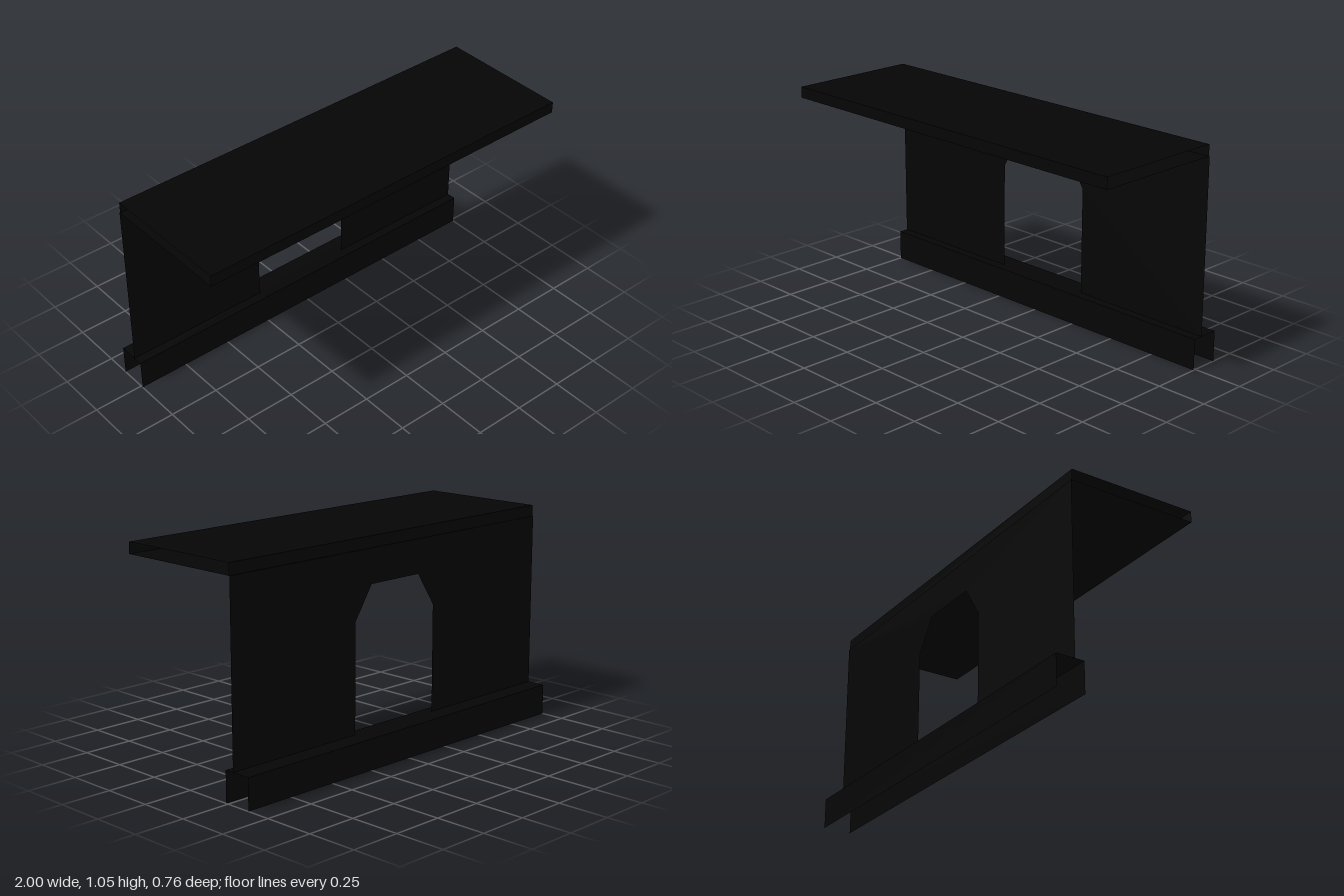
import * as THREE from 'three';

const HALF = 1; // half length along x
const WALL_Z = -0.285;

const black = new THREE.MeshStandardMaterial({ color: 0x050505, side: THREE.DoubleSide });

// Thin folded sheet: a [z, y] profile swept along x, with open ends
function foldedSheet(name, profile) {
  const positions = [];
  for (let i = 0; i < profile.length - 1; i++) {
    const [z0, y0] = profile[i];
    const [z1, y1] = profile[i + 1];
    const a = [-HALF, y0, z0], b = [HALF, y0, z0];
    const c = [HALF, y1, z1], d = [-HALF, y1, z1];
    positions.push(...a, ...b, ...c, ...a, ...c, ...d);
  }
  const geometry = new THREE.BufferGeometry();
  geometry.setAttribute('position', new THREE.Float32BufferAttribute(positions, 3));
  geometry.computeVertexNormals();
  const mesh = new THREE.Mesh(geometry, black);
  mesh.name = name;
  return mesh;
}

const outline = (points) => points.map(([x, y]) => new THREE.Vector2(x, y));

export function createModel() {
  const model = new THREE.Group();
  model.name = 'canopyWall';

  // Wall sheet with a chamfered doorway open at the base
  const wallShape = new THREE.Shape(outline([
    [-HALF, 0.15], [-0.26, 0.15], [-0.26, 0.675], [-0.155, 0.835],
    [0.155, 0.835], [0.26, 0.675], [0.26, 0.15], [HALF, 0.15],
    [HALF, 1.0], [-HALF, 1.0],
  ]));
  const wall = new THREE.Mesh(new THREE.ShapeGeometry(wallShape), black);
  wall.name = 'wall';
  wall.position.z = WALL_Z;
  model.add(wall);

  // Canopy: hollow slab with open ends, reaching forward from the wall top
  model.add(foldedSheet('canopy', [
    [WALL_Z, 1.0], [0.377, 1.0], [0.377, 1.055], [-0.28, 1.055], [-0.28, 1.0],
  ]));

  // Base channel: a ledge with a skirt hanging down on each side
  model.add(foldedSheet('baseChannel', [
    [-0.238, 0], [-0.238, 0.15], [-0.379, 0.15], [-0.379, 0],
  ]));

  return model;
}
